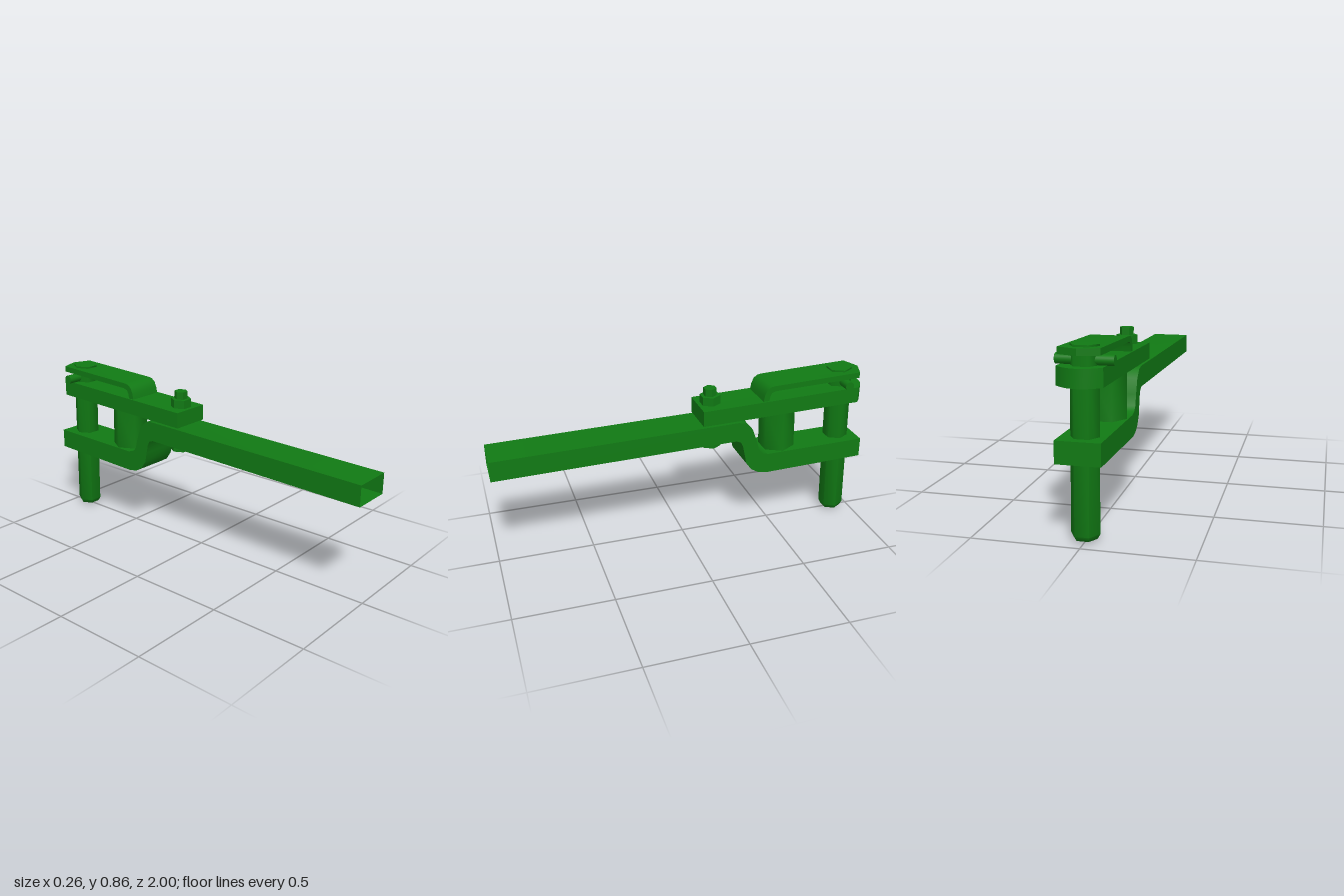
import * as THREE from 'three';
import { toCreasedNormals } from 'three/addons/utils/BufferGeometryUtils.js';

const CX = 0.007;      // sideways centre of the bars and bolts
const TILT = 0.027;    // slight lean of the whole hitch
const material = new THREE.MeshStandardMaterial({ color: 0x117a14, side: THREE.DoubleSide });

function add(group, name, geometry) {
  const mesh = new THREE.Mesh(geometry, material);
  mesh.name = name;
  group.add(mesh);
  return mesh;
}

// Side profile of [z, y] points, extruded across x and centred on CX
function sideExtrude(profile, width, steps = 1) {
  const shape = new THREE.Shape(profile.map(([z, y]) => new THREE.Vector2(-z, y)));
  const g = new THREE.ExtrudeGeometry(shape, { depth: width, steps, bevelEnabled: false });
  g.translate(0, 0, -width / 2);
  g.rotateY(Math.PI / 2);
  return g;
}

// Push the rear end backwards, following a bulge(x) between -1 and 1
function bulgeRear(g, zEnd, width, bulge) {
  const p = g.attributes.position;
  for (let i = 0; i < p.count; i++) {
    if (p.getZ(i) < zEnd + 0.001) p.setZ(i, zEnd - bulge((2 * p.getX(i)) / width));
  }
  return g;
}

function finish(g, crease) {
  g.translate(CX, 0, 0);
  return toCreasedNormals(g, crease);
}

// Remove the triangles lying on the front end, leaving the tube open
function openFront(g, z) {
  const p = g.attributes.position;
  const kept = [];
  for (let i = 0; i < p.count; i += 3) {
    if ([0, 1, 2].every((k) => p.getZ(i + k) > z - 0.001)) continue;
    for (let k = 0; k < 3; k++) kept.push(p.getX(i + k), p.getY(i + k), p.getZ(i + k));
  }
  const out = new THREE.BufferGeometry();
  out.setAttribute('position', new THREE.Float32BufferAttribute(kept, 3));
  return out;
}

// Upright six-sided rod with corners to the left and right; profile of [radius, y]
function hexRod(profile, crease) {
  const pts = profile.map(([r, y]) => new THREE.Vector2(r, y));
  return toCreasedNormals(new THREE.LatheGeometry(pts, 6, Math.PI / 6), crease);
}

export function createModel() {
  const model = new THREE.Group();
  model.name = 'towHitch';

  // Drawbar: hollow front, dropping in an S bend to the lower jaw
  const barTop = [[1, 0.635], [-0.27, 0.663], [-0.31, 0.655], [-0.35, 0.615], [-0.375, 0.545],
    [-0.39, 0.49], [-0.41, 0.468], [-0.445, 0.458], [-0.99, 0.468]];
  const barBottom = [[-0.99, 0.365], [-0.44, 0.349], [-0.39, 0.358], [-0.35, 0.382], [-0.32, 0.425],
    [-0.308, 0.48], [-0.298, 0.525], [-0.285, 0.55], [-0.26, 0.559], [1, 0.53]];
  add(model, 'drawbar', finish(openFront(sideExtrude([...barTop, ...barBottom], 0.205), 1), 0.7));

  // Upper jaw plate with a rounded rear end
  const plate = sideExtrude([[-0.08, 0.668], [-0.08, 0.75], [-0.945, 0.776], [-0.945, 0.692]], 0.205, 10);
  bulgeRear(plate, -0.945, 0.205, (x) => 0.05 * (1 - x * x));
  add(model, 'upperPlate', finish(plate, 0.7));

  // Bent strap above the plate with a shallow pointed end
  const strap = sideExtrude([[-0.405, 0.75], [-0.412, 0.79], [-0.425, 0.82], [-0.445, 0.835], [-0.47, 0.839],
    [-0.95, 0.857], [-0.95, 0.826], [-0.475, 0.811], [-0.452, 0.803], [-0.443, 0.785], [-0.436, 0.75]], 0.187, 2);
  bulgeRear(strap, -0.95, 0.187, (x) => 0.035 * (1 - Math.abs(x)));
  add(model, 'strap', finish(strap, 0.7));

  // Hitch pin, smooth round its six sides, with a bevelled tip
  const pin = add(model, 'hitchPin',
    hexRod([[0, 0], [0.028, 0.002], [0.054, 0.01], [0.066, 0.032], [0.066, 0.861], [0, 0.861]], 1.1));
  pin.position.set(0.003, 0.002, -0.901);
  pin.rotation.x = TILT;

  // Cross pin locking the hitch pin
  const cross = add(model, 'crossPin', new THREE.CylinderGeometry(0.024, 0.024, 0.26, 12));
  cross.rotation.z = Math.PI / 2;
  cross.position.set(0, 0.797, -0.882);

  // Spacer between the jaws
  const spacer = add(model, 'spacer', hexRod([[0, 0], [0.096, 0], [0.096, 0.25], [0, 0.25]], 1.1));
  spacer.position.set(CX, 0.44, -0.532);
  spacer.rotation.x = TILT;

  // Clamping bolt: wide hexagon body and narrower stud on top
  const bolt = add(model, 'clampBolt',
    hexRod([[0, 0], [0.054, 0], [0.054, 0.286], [0.035, 0.286], [0.035, 0.325], [0, 0.325]], 0.5));
  bolt.position.set(CX, 0.511, -0.154);
  bolt.rotation.x = TILT;

  return model;
}
